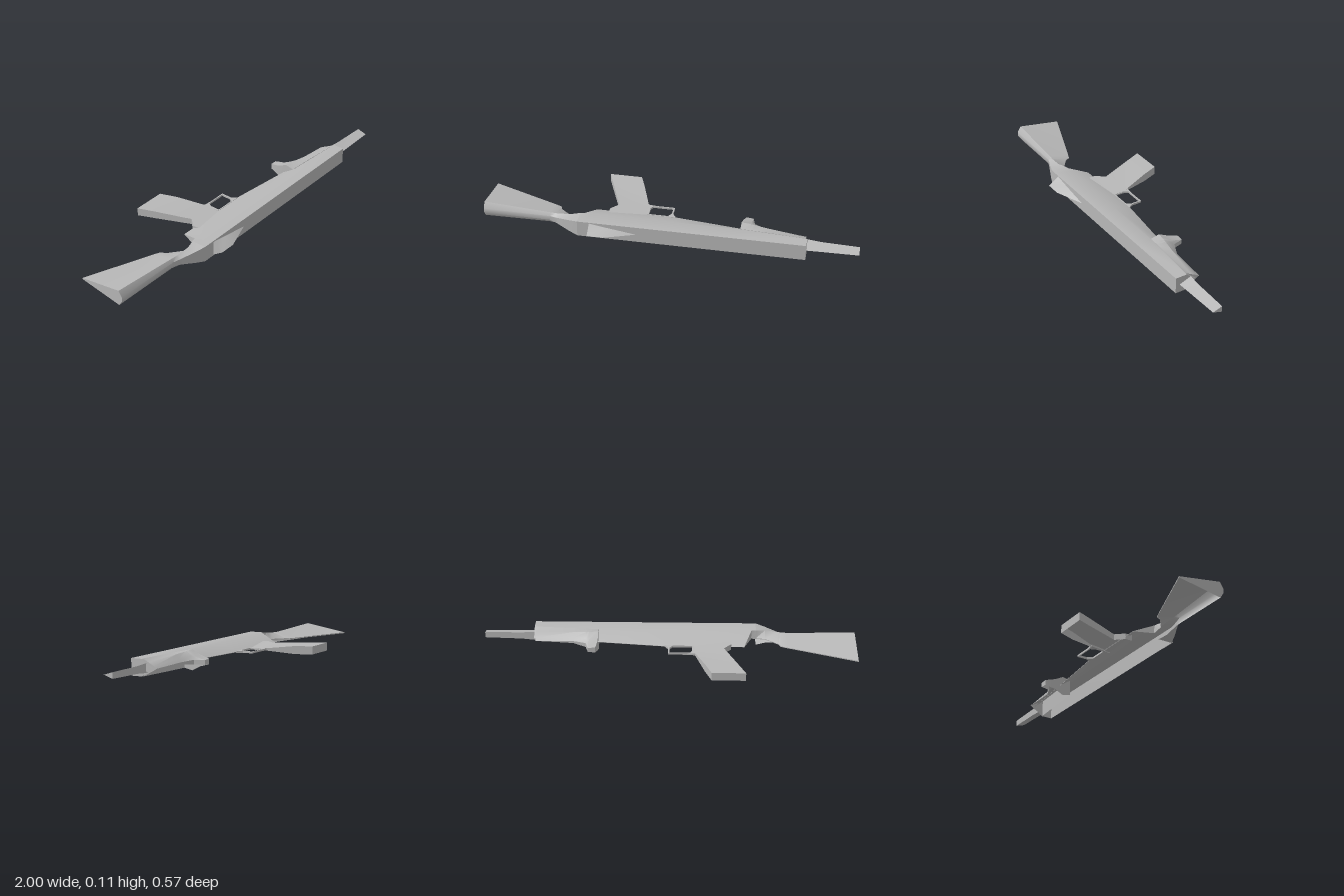
import * as THREE from 'three';
import { toCreasedNormals } from 'three/addons/utils/BufferGeometryUtils.js';

const MID = 0.055; // height of the mirror plane

// Skin through mirrored sections. Each station is [s, [a, half], [a, half], ...]:
// s runs along the part, a across it, half is the thickness either side of the mirror plane.
// Strips listed in open are left out; startCap and endCap close the ends.
function loft(stations, place, { open = [], startCap = true, endCap = true } = {}) {
  const rings = stations.map(([s, ...side]) => [
    ...side.map(([a, h]) => place(s, a, MID + h)),
    ...side.slice().reverse().map(([a, h]) => place(s, a, MID - h)),
  ]);
  const pos = [];
  const tri = (a, b, c) => {
    const area = new THREE.Vector3().subVectors(b, a).cross(new THREE.Vector3().subVectors(c, a)).length();
    if (area > 1e-9) for (const p of [a, b, c]) pos.push(p.x, p.y, p.z);
  };
  const quad = (a, b, c, d) => { tri(a, b, c); tri(a, c, d); };
  const n = rings[0].length;
  for (let r = 0; r < rings.length - 1; r++) {
    for (let i = 0; i < n; i++) {
      if (open.includes(i)) continue;
      const j = (i + 1) % n;
      quad(rings[r][i], rings[r + 1][i], rings[r + 1][j], rings[r][j]);
    }
  }
  // End caps, as strips between the two mirrored sides
  const first = rings[0], last = rings[rings.length - 1];
  for (let i = 0; i < n / 2 - 1; i++) {
    const k = n - 1 - i;
    if (startCap) quad(first[i], first[i + 1], first[k - 1], first[k]);
    if (endCap) quad(last[k], last[k - 1], last[i + 1], last[i]);
  }
  const geo = new THREE.BufferGeometry();
  geo.setAttribute('position', new THREE.Float32BufferAttribute(pos, 3));
  return toCreasedNormals(geo, 0.6);
}

const alongX = (s, a, y) => new THREE.Vector3(s, y, a);
const alongZ = (s, a, y) => new THREE.Vector3(a, y, s); // stations go from high z to low z

export function createModel() {
  const group = new THREE.Group();
  const grey = new THREE.MeshStandardMaterial({ color: 0xb8b8b8 });
  grey.name = 'grey';
  grey.side = THREE.DoubleSide;

  const add = (name, geo) => {
    const mesh = new THREE.Mesh(geo, grey);
    mesh.name = name;
    group.add(mesh);
  };

  // Stock: ridged outer edge, sloping face, hollow underneath
  add('stock', loft([
    [-1, [0.153, 0.012], [0.133, 0.043], [-0.11, 0.003]],
    [-0.635, [0.159, 0.012], [0.148, 0.029], [0.03, 0.002]],
    [-0.6, [0.172, 0.016], [0.152, 0.03], [0.045, 0.002]],
    [-0.59, [0.177, 0.018], [0.153, 0.031], [0.07, 0.002]],
    [-0.52, [0.208, 0.034], [0.158, 0.038], [0.125, 0.002]],
    [-0.47, [0.227, 0.044], [0.145, 0.044], [0.134, 0.002]],
  ], alongX, { open: [3], endCap: false }));

  // Body: outer wall, flat band and sloping face, hollow underneath
  add('body', loft([
    [-0.47, [0.227, 0.044], [0.145, 0.044], [0.134, 0.002]],
    [-0.445, [0.227, 0.044], [0.14, 0.044], [0.135, 0.002]],
    [-0.405, [0.227, 0.044], [0.14, 0.044], [0.035, 0.001]],
    [0.027, [0.227, 0.044], [0.14, 0.044], [0.035, 0.001]],
    [0.38, [0.227, 0.044], [0.14, 0.044], [0.075, 0.001]],
    [0.73, [0.227, 0.044], [0.163, 0.044], [0.11, 0]],
  ], alongX, { open: [3, 4], startCap: false }));

  // Fore grip: deep at the back, closing to a point at the front, hollow underneath
  add('foreGrip', loft([
    [0.38, [0.14, 0.045], [0.092, 0.055], [0.04, 0.029], [0.035, 0.028]],
    [0.39, [0.14, 0.045], [0.092, 0.054], [0.04, 0.029], [-0.015, 0.015]],
    [0.43, [0.142, 0.045], [0.095, 0.051], [0.04, 0.026], [-0.015, 0.012]],
    [0.445, [0.143, 0.045], [0.096, 0.049], [0.06, 0.03], [0.04, 0.012]],
    [0.515, [0.147, 0.045], [0.105, 0.043], [0.085, 0.022], [0.072, 0.006]],
    [0.72, [0.163, 0.045], [0.13, 0.027], [0.1, 0.011], [0.082, 0]],
  ], alongX, { open: [4, 5, 6] }));

  // Barrel: tapered triangular bar
  add('barrel', loft([
    [0.72, [0.205, 0], [0.138, 0.025]],
    [0.8, [0.203, 0], [0.142, 0.019]],
    [1, [0.199, 0], [0.147, 0.016]],
  ], alongX));

  // Wedge fin on the outer wall
  add('sideFin', loft([
    [-0.405, [0.285, 0], [0.227, 0.039]],
    [-0.32, [0.285, 0], [0.227, 0.025]],
    [-0.16, [0.228, 0], [0.227, 0.001]],
  ], alongX));

  // Slanted grip with a narrowing front edge, hollow underneath
  add('slantedGrip', loft([
    [0.075, [-0.125, 0.002], [-0.335, 0.016]],
    [0.035, [-0.125, 0.002], [-0.335, 0.016]],
    [-0.01, [-0.125, 0.004], [-0.295, 0.016]],
    [-0.06, [-0.145, 0.007], [-0.315, 0.017]],
    [-0.2, [-0.195, 0.022], [-0.37, 0.021]],
    [-0.288, [-0.228, 0.022], [-0.405, 0.022]],
  ], alongZ, { open: [2], startCap: false }));

  // Thin guard loop beside the grip
  const points = (list) => list.map(([x, z]) => new THREE.Vector2(x, z));
  const outline = new THREE.Shape(points([
    [-0.15, -0.055], [-0.1, -0.048], [0.002, -0.048], [0.002, 0.01], [0.022, 0.04], [-0.135, 0.04],
  ]));
  outline.holes.push(new THREE.Path(points([
    [-0.115, -0.042], [-0.005, -0.042], [-0.005, 0.008], [-0.022, 0.034], [-0.125, 0.034], [-0.133, -0.005],
  ])));
  const guard = new THREE.ExtrudeGeometry(outline, { depth: 0.01, bevelEnabled: false });
  guard.rotateX(Math.PI / 2).translate(0, MID + 0.005, 0);
  add('guardLoop', guard);

  return group;
}
